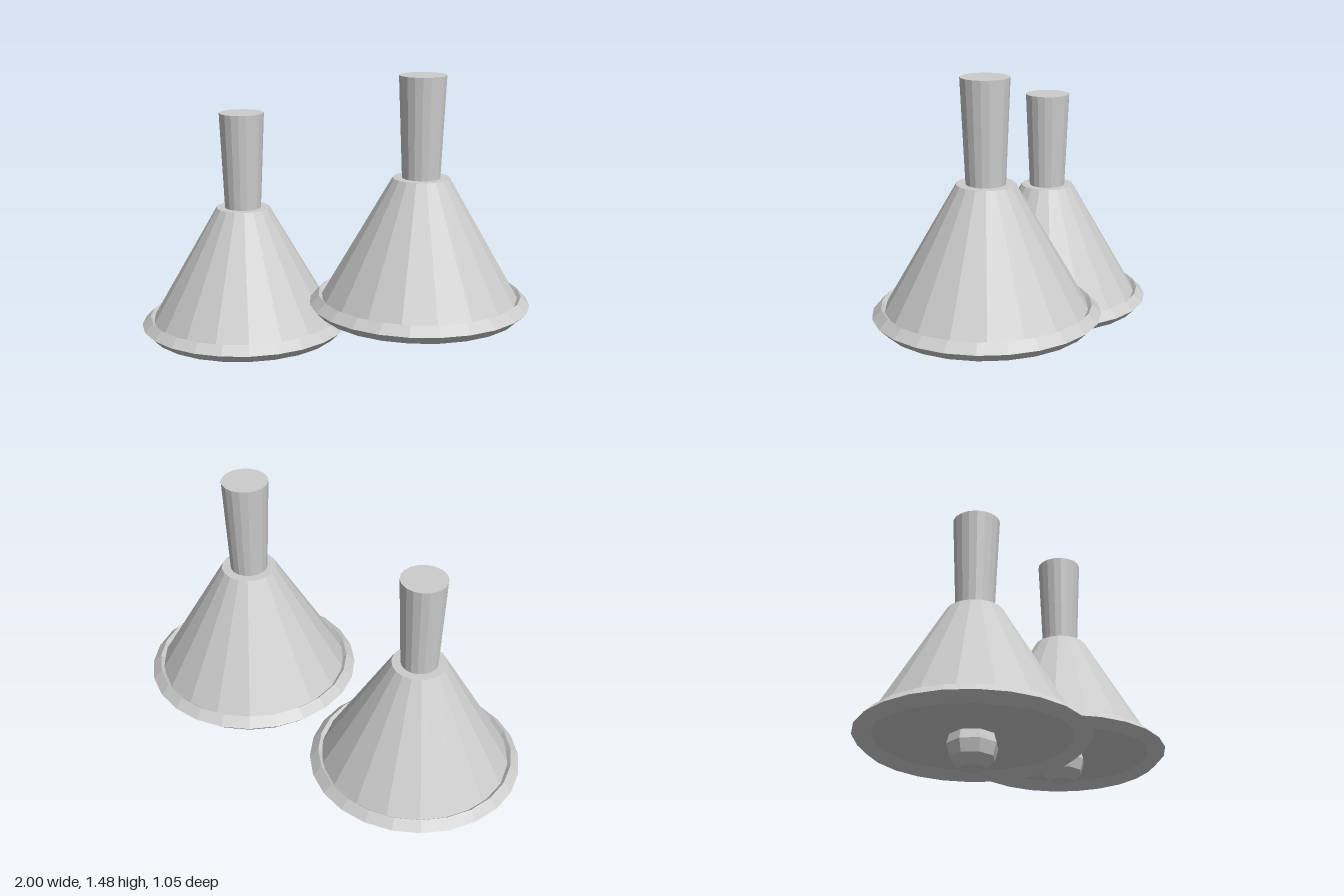
import * as THREE from 'three';

const metal = new THREE.MeshStandardMaterial({ color: 0xcccccc, flatShading: true });
metal.name = 'paleGrey';

function addPart(group, name, geometry, y) {
  const mesh = new THREE.Mesh(geometry, metal);
  mesh.name = name;
  mesh.position.y = y;
  group.add(mesh);
}

// One hand bell, standing on the tip of its clapper
function createBell(name) {
  const bell = new THREE.Group();
  bell.name = name;

  // Closed conical body
  addPart(bell, 'body', new THREE.CylinderGeometry(0.134, 0.484, 0.607, 18).rotateY(Math.PI / 2), 0.4665);

  // Rim with a diamond cross-section
  addPart(bell, 'rim', new THREE.TorusGeometry(0.484, 0.043, 4, 24).rotateX(Math.PI / 2), 0.163);

  // Handle widening to the top
  addPart(bell, 'handle', new THREE.CylinderGeometry(0.112, 0.09, 0.5, 18), 1.0);

  // Low-poly clapper below the mouth
  addPart(bell, 'clapper', new THREE.SphereGeometry(0.118, 8, 6), 0.119);
  return bell;
}

export function createModel() {
  const model = new THREE.Group();
  model.name = 'handBells';
  const right = createBell('rightBell');
  right.position.set(-0.473, 0, 0);
  const left = createBell('leftBell');
  left.position.set(0.473, 0.234, 0);
  model.add(right, left);
  return model;
}
